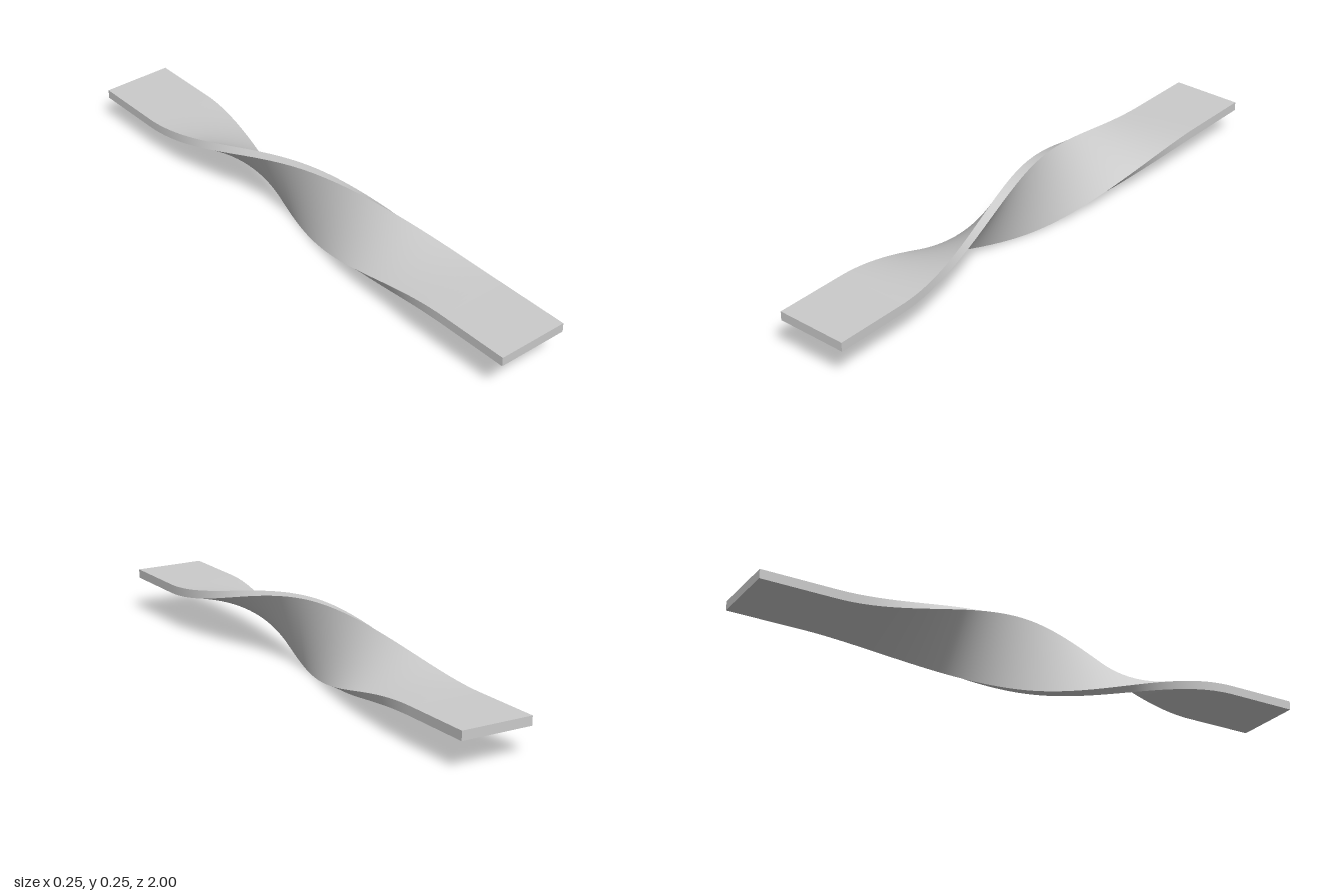
import * as THREE from 'three';

const W = 0.125;      // half width of the strip
const T = 0.031;      // thickness
const AXIS_Y = 0.1255; // height of the twist axis
const TWIST = 0.75;   // the twist runs from z = TWIST to z = -TWIST
const STEPS = 96;

// Cubic between two values with given end slopes
function hermite(a, b, ma, mb, t) {
  const t2 = t * t, t3 = t2 * t;
  return a * (2 * t3 - 3 * t2 + 1) + b * (3 * t2 - 2 * t3) + ma * (t3 - 2 * t2 + t) + mb * (t3 - t2);
}

// Smooth path of one coordinate through its flat, upright and turned-over values
function through(p0, p1, p2, s) {
  const m = 0.75 * (p2 - p0);
  return s < 1 ? hermite(p0, p1, 0, m, s) : hermite(p1, p2, m, 0, s - 1);
}

// Corners of the cross-section, counter-clockwise seen from the front
const corners = [[-W, 0], [W, 0], [W, T], [-W, T]];

function section(z) {
  const s = THREE.MathUtils.clamp(1 - z / TWIST, 0, 2);
  return corners.map(([x, y]) => [
    through(x, -y, -x, s),
    AXIS_Y + through(y, x, -y, s),
    z,
  ]);
}

export function createModel() {
  const group = new THREE.Group();
  group.name = 'twistedStrip';
  const material = new THREE.MeshStandardMaterial({ color: 0xcccccc });

  const levels = [1];
  for (let i = 0; i <= STEPS; i++) levels.push(TWIST * (1 - (2 * i) / STEPS));
  levels.push(-1);
  const rings = levels.map(section);

  const positions = [], indices = [];

  // Four long faces, each with its own vertices so the edges stay sharp
  for (let k = 0; k < 4; k++) {
    const base = positions.length / 3;
    rings.forEach((ring, i) => {
      positions.push(...ring[k], ...ring[(k + 1) % 4]);
      if (i === rings.length - 1) return;
      const a = base + 2 * i;
      indices.push(a, a + 2, a + 1, a + 1, a + 2, a + 3);
    });
  }

  // End caps
  [[rings[0], false], [rings[rings.length - 1], true]].forEach(([ring, back]) => {
    const b = positions.length / 3;
    ring.forEach((p) => positions.push(...p));
    if (back) indices.push(b, b + 2, b + 1, b, b + 3, b + 2);
    else indices.push(b, b + 1, b + 2, b, b + 2, b + 3);
  });

  const geometry = new THREE.BufferGeometry();
  geometry.setAttribute('position', new THREE.Float32BufferAttribute(positions, 3));
  geometry.setIndex(indices);
  geometry.computeVertexNormals();

  const strip = new THREE.Mesh(geometry, material);
  strip.name = 'strip';
  group.add(strip);
  return group;
}
